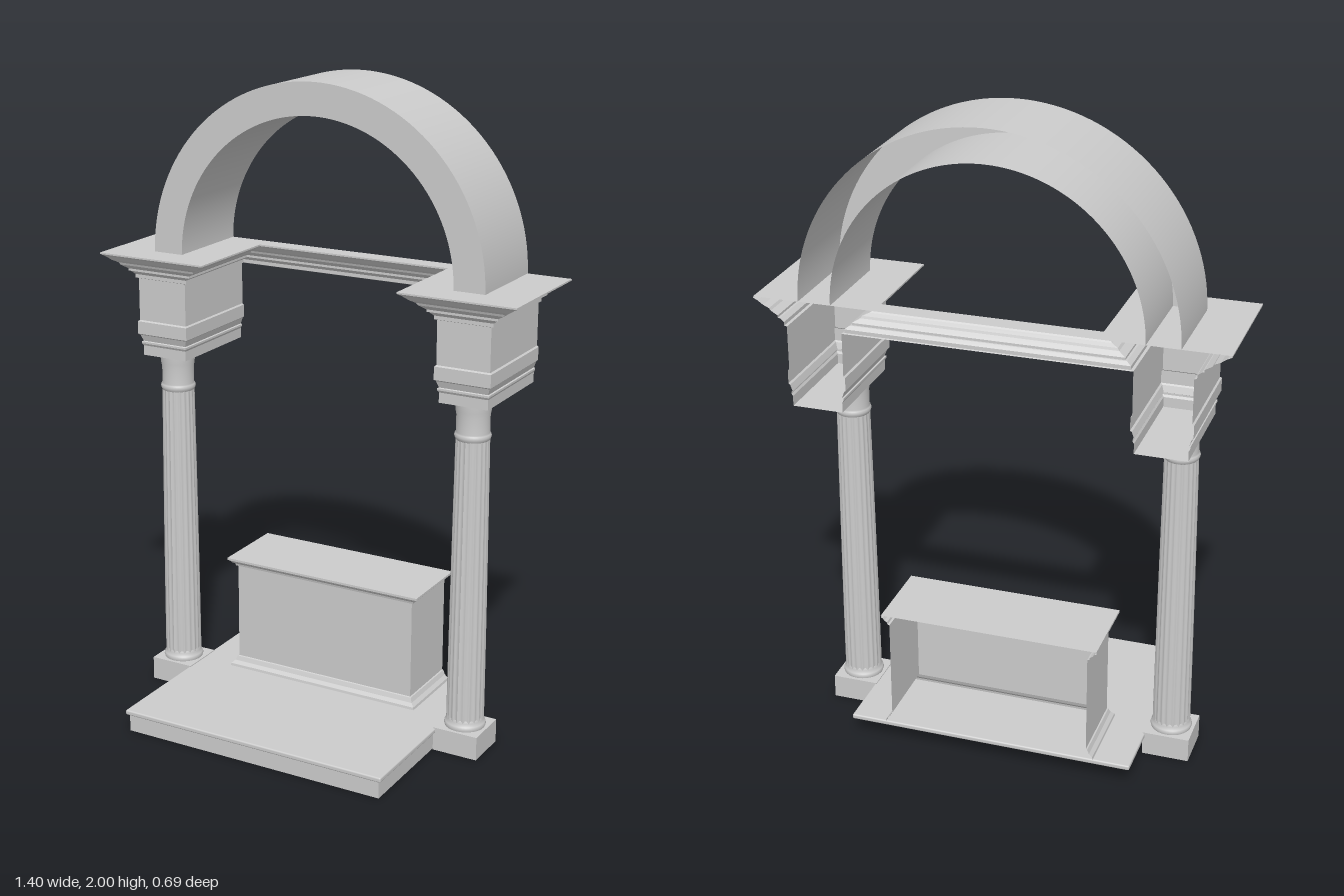
import * as THREE from 'three';
import { RoundedBoxGeometry } from 'three/addons/geometries/RoundedBoxGeometry.js';

const BACK = -0.345;
const COL_X = 0.5125, COL_Z = -0.09;

export function createModel() {
  const model = new THREE.Group();
  const mat = new THREE.MeshStandardMaterial({ color: 0xcccccc, side: THREE.DoubleSide });

  const add = (parent, name, geometry, x = 0, y = 0, z = 0) => {
    const mesh = new THREE.Mesh(geometry, mat);
    mesh.name = name;
    mesh.position.set(x, y, z);
    parent.add(mesh);
    return mesh;
  };

  // Mitred moulding: profile [offset, y] swept along path [x, z, outX, outZ]
  const sweep = (path, profile) => {
    const at = (p, q) => [p[0] + p[2] * q[0], q[1], p[1] + p[3] * q[0]];
    const pos = [];
    for (let i = 0; i < path.length - 1; i++) {
      for (let j = 0; j < profile.length - 1; j++) {
        const a = at(path[i], profile[j]), b = at(path[i + 1], profile[j]);
        const c = at(path[i + 1], profile[j + 1]), d = at(path[i], profile[j + 1]);
        pos.push(...a, ...d, ...c, ...a, ...c, ...b);
      }
    }
    const g = new THREE.BufferGeometry();
    g.setAttribute('position', new THREE.Float32BufferAttribute(pos, 3));
    g.computeVertexNormals();
    return g;
  };

  // Flat horizontal sheet covering a swept path at one offset
  const sheet = (path, offset, y) => {
    const pts = path.map(p => new THREE.Vector2(p[0] + p[2] * offset, -(p[1] + p[3] * offset)));
    return new THREE.ShapeGeometry(new THREE.Shape(pts)).rotateX(-Math.PI / 2).translate(0, y, 0);
  };

  // Three-sided path, open at the back
  const openBack = (x0, x1, front, zScale, back = BACK) => [
    [x1, back, 1, 0], [x1, front, 1, zScale], [x0, front, -1, zScale], [x0, back, -1, 0],
  ];

  // Platform: thin slab over a shallow skirt that is open below and behind
  const platform = new THREE.Group();
  platform.name = 'platform';
  model.add(platform);
  add(platform, 'platformSlab', new RoundedBoxGeometry(0.894, 0.016, 0.69, 2, 0.005), 0, 0.064, 0);
  add(platform, 'platformSkirt', sweep(openBack(-0.437, 0.437, 0.335, 1, COL_Z), [[0, 0], [0, 0.057]]));

  // Altar: hollow at the back, flared foot and moulded top
  const altar = new THREE.Group();
  altar.name = 'altar';
  model.add(altar);
  const altarPath = openBack(-0.312, 0.312, -0.115, 0.9);
  add(altar, 'altarBody', sweep(altarPath, [
    [0.022, 0.07], [0.02, 0.08], [0.01, 0.09], [0.004, 0.104], [0, 0.106], [0, 0.42],
    [0.006, 0.422], [0.008, 0.429], [0.016, 0.434], [0.022, 0.442], [0.027, 0.443], [0.027, 0.45],
  ]));
  add(altar, 'altarTop', sheet(altarPath, 0.027, 0.45));

  // Columns
  const V = (r, y) => new THREE.Vector2(r, y);
  const baseProfile = [V(0.062, 0.075), V(0.064, 0.082), V(0.062, 0.09), V(0.058, 0.093),
    V(0.058, 0.1), V(0.055, 0.108)];
  const neckProfile = [V(0.05, 0.995), V(0.053, 1.0), V(0.055, 1.007), V(0.053, 1.014),
    V(0.05, 1.018), V(0.05, 1.07), V(0.053, 1.085), V(0.054, 1.112)];
  const shaftProfile = [];
  for (let i = 0; i <= 12; i++) {
    const t = i / 12;
    shaftProfile.push(V(0.058 - 0.007 * Math.pow(t, 1.4), 0.1 + 0.9 * t));
  }
  // Flutes: press shallow grooves into a lathed shaft
  const flutes = 20, steps = 6;
  const shaft = new THREE.LatheGeometry(shaftProfile, flutes * steps);
  const p = shaft.attributes.position;
  for (let i = 0; i < p.count; i++) {
    const seg = Math.floor(i / shaftProfile.length) % steps;
    const k = 1 - 0.06 * Math.sin(Math.PI * seg / steps);
    p.setXYZ(i, p.getX(i) * k, p.getY(i), p.getZ(i) * k);
  }
  shaft.computeVertexNormals();

  // Plinth is a hollow square cap, open underneath
  const h = 0.0725;
  const plinthPath = [[h, -h, 0, 0], [h, h, 0, 0], [-h, h, 0, 0], [-h, -h, 0, 0], [h, -h, 0, 0]];

  // Entablature block above each column
  const blockProfile = [
    [-0.01, 1.112], [-0.01, 1.143], [-0.006, 1.15], [-0.006, 1.156], [-0.01, 1.158], [-0.003, 1.178],
    [0.002, 1.182], [0.002, 1.222], [-0.003, 1.226], [-0.003, 1.36],
  ];

  for (const side of [-1, 1]) {
    const tag = side > 0 ? 'left' : 'right';
    const column = new THREE.Group();
    column.name = tag + 'Column';
    column.position.set(side * COL_X, 0, COL_Z);
    model.add(column);
    add(column, 'plinthSides', sweep(plinthPath, [[0, 0], [0, 0.075]]));
    add(column, 'plinthTop', sheet(plinthPath.slice(0, 4), 0, 0.075));
    add(column, 'columnBase', new THREE.LatheGeometry(baseProfile, 40));
    add(column, 'flutedShaft', shaft);
    add(column, 'columnNeck', new THREE.LatheGeometry(neckProfile, 40));

    const block = new THREE.Group();
    block.name = tag + 'Entablature';
    model.add(block);
    const c = side * COL_X;
    const path = openBack(c - 0.0875, c + 0.0875, -0.006, 1);
    add(block, 'frieze', sweep(path, blockProfile));
    add(block, 'friezeUnderside', sheet(path, -0.01, 1.112));
  }

  // Cornice: one moulding wrapping both blocks and the beam behind
  const s = 0.58;
  const half = [[0.6, BACK, 1, 0], [0.6, -0.006, 1, s], [0.425, -0.006, -1, s], [0.425, BACK, -1, s]];
  const cornicePath = [...half, ...half.slice().reverse().map(([x, z, a, b]) => [-x, z, -a, b])];
  const cornice = new THREE.Group();
  cornice.name = 'cornice';
  model.add(cornice);
  add(cornice, 'corniceMoulding', sweep(cornicePath, [
    [-0.003, 1.36], [0.005, 1.362], [0.005, 1.373], [0.018, 1.383], [0.024, 1.384], [0.024, 1.391],
    [0.045, 1.403], [0.05, 1.41], [0.068, 1.418], [0.085, 1.43], [0.098, 1.436], [0.098, 1.441],
  ]));
  add(cornice, 'corniceTop', sheet(cornicePath, 0.098, 1.441));

  // Arch: hollow half ring with a front face, open at the back
  const arch = new THREE.Group();
  arch.name = 'arch';
  arch.position.y = 1.441;
  model.add(arch);
  const R = 0.559, r = 0.46, front = -0.045, depth = front - BACK;
  const vault = radius => new THREE.CylinderGeometry(radius, radius, depth, 64, 1, true, Math.PI / 2, Math.PI)
    .rotateX(Math.PI / 2);
  add(arch, 'archOuter', vault(R), 0, 0, BACK + depth / 2);
  add(arch, 'archInner', vault(r), 0, 0, BACK + depth / 2);
  add(arch, 'archFace', new THREE.RingGeometry(r, R, 64, 1, 0, Math.PI), 0, 0, front);

  return model;
}
